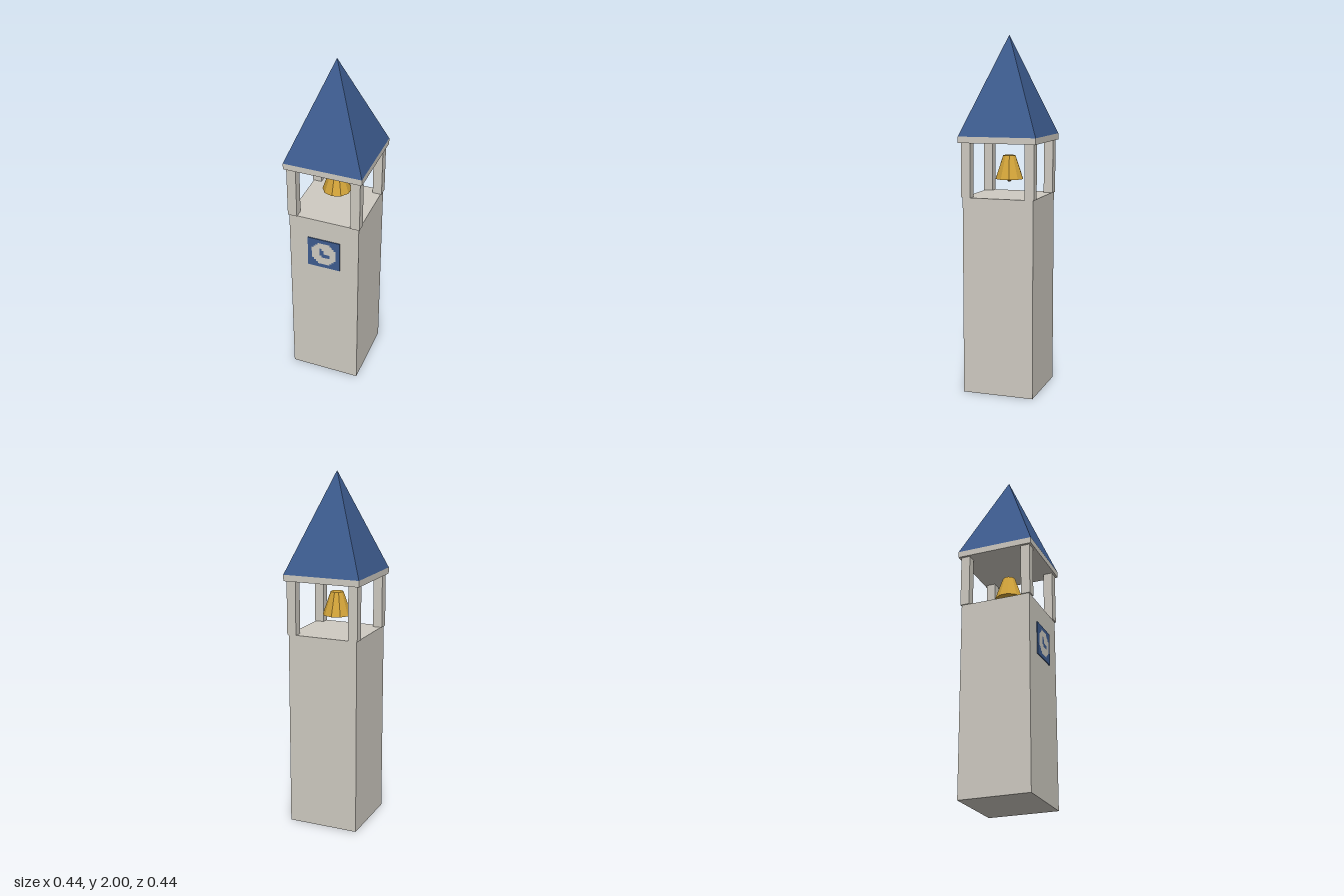
import * as THREE from 'three';

const paint = (name, color) => {
  const m = new THREE.MeshStandardMaterial({ color });
  m.name = name;
  m.flatShading = true;
  return m;
};

export function createModel() {
  const stone = paint('stone', 0xcfcbc2);
  const blue = paint('slate blue', 0x3d5c8f);
  const gold = paint('bell gold', 0xd4a53a);
  const iron = paint('dark bronze', 0x5a4520);

  const model = new THREE.Group();
  model.name = 'bellTower';

  const add = (name, geometry, material, x, y, z, parent = model) => {
    const mesh = new THREE.Mesh(geometry, material);
    mesh.name = name;
    mesh.position.set(x, y, z);
    parent.add(mesh);
    return mesh;
  };

  // Shaft
  const half = 0.203, shaftTop = 1.113;
  add('shaft', new THREE.BoxGeometry(2 * half, shaftTop, 2 * half), stone, 0, shaftTop / 2, 0);

  // Belfry posts, standing slightly proud of the shaft
  const postWidth = 0.053, postHeight = 0.302, postAt = 0.1825;
  const post = new THREE.BoxGeometry(postWidth, postHeight, postWidth);
  for (const sx of [-1, 1]) {
    for (const sz of [-1, 1]) {
      add('post', post, stone, sx * postAt, shaftTop + postHeight / 2, sz * postAt);
    }
  }

  // Roof slab and four-sided spire
  add('roofSlab', new THREE.BoxGeometry(0.444, 0.035, 0.444), stone, 0, 1.4325, 0);
  const spire = new THREE.ConeGeometry(0.222 * Math.SQRT2, 0.55, 4, 1, true);
  spire.rotateY(Math.PI / 4);
  add('spire', spire, blue, 0, 1.725, 0);

  // Bell and clapper
  const bell = new THREE.Group();
  bell.name = 'bell';
  model.add(bell);
  add('bellBody', new THREE.CylinderGeometry(0.036, 0.081, 0.132, 10), gold, 0, 1.27, 0, bell);
  add('clapper', new THREE.SphereGeometry(0.014, 8, 6), iron, 0, 1.2, 0, bell);

  // Clock: thin plates laid out on a 16 x 16 grid of cells
  const clock = new THREE.Group();
  clock.name = 'clock';
  clock.position.set(0, 0.892, half);
  model.add(clock);
  const cell = 0.19 / 16;
  const outline = (points) => new THREE.Shape(points.map(([x, y]) => new THREE.Vector2(x * cell, y * cell)));

  // One stepped corner, turned four times to make the dial
  const corner = [[6, 3], [5, 3], [5, 4], [4, 4], [4, 5], [3, 5], [3, 6]];
  const dial = [];
  for (let i = 0, turn = corner; i < 4; i++) {
    dial.push(...turn);
    turn = turn.map(([x, y]) => [-y, x]);
  }

  add('clockPanel', new THREE.BoxGeometry(0.19, 0.19, 0.005), blue, 0, 0, 0.0025, clock);
  add('clockDial', new THREE.ShapeGeometry(outline(dial)), stone, 0, 0, 0.006, clock);
  const hands = [[-2, 3], [-2, -1], [-1, -1], [-1, -2], [3, -2], [3, 0], [0, 0], [0, 2], [-1, 2], [-1, 3]];
  add('clockHands', new THREE.ShapeGeometry(outline(hands)), blue, 0, 0, 0.007, clock);

  return model;
}
